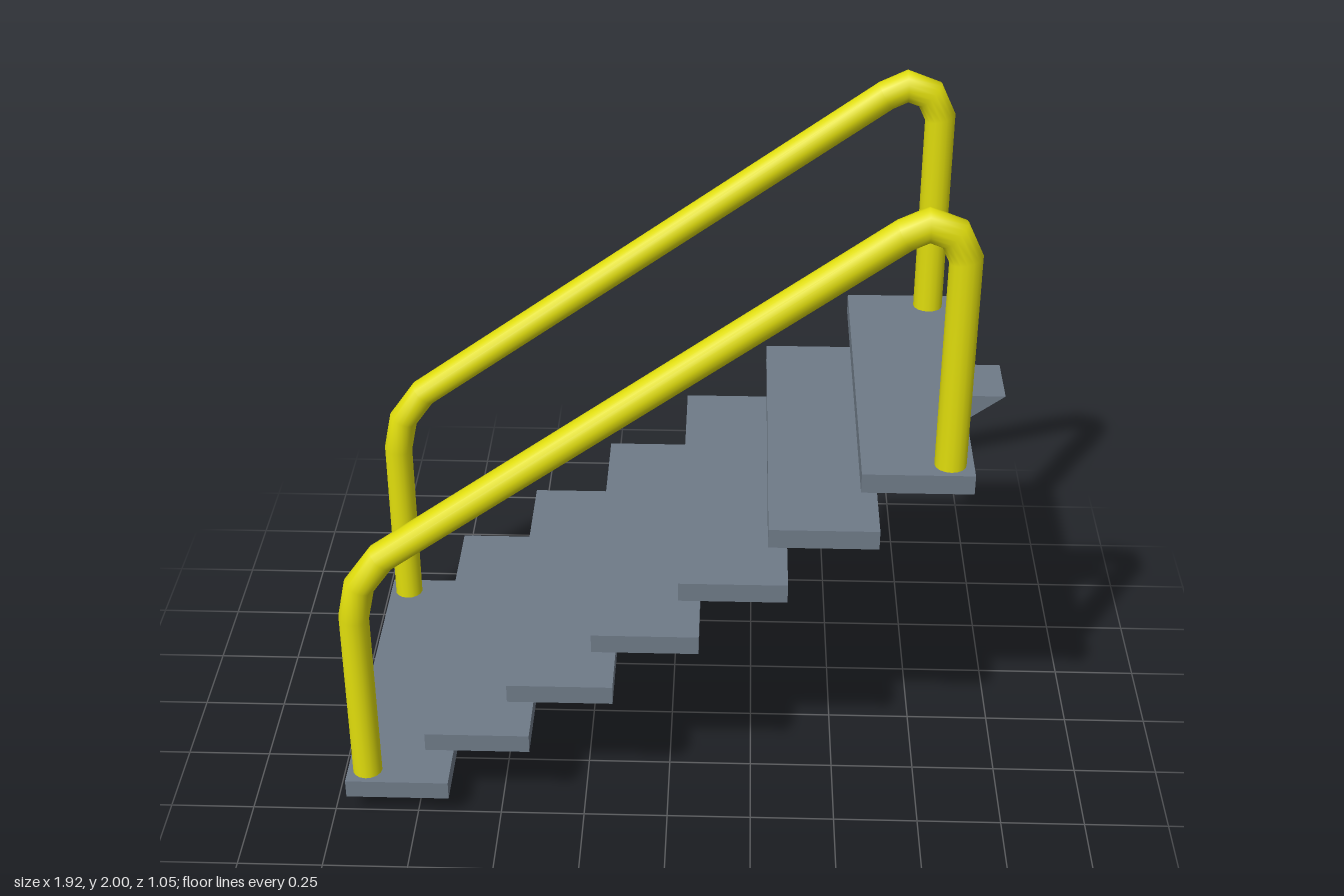
import * as THREE from 'three';

const steel = new THREE.MeshStandardMaterial({ color: 0x6f7b88 });
const yellow = new THREE.MeshStandardMaterial({ color: 0xe0dd0c });

// Round bar swept along a path in the xy plane, with mitred joints
function barGeometry(path, radius, sides) {
  const pts = path.map(([x, y]) => new THREE.Vector2(x, y));
  const pos = [], idx = [];
  pts.forEach((p, i) => {
    const a = pts[Math.max(i - 1, 0)], b = pts[Math.min(i + 1, pts.length - 1)];
    const d1 = (i > 0 ? p.clone().sub(a) : b.clone().sub(p)).normalize();
    const d2 = (i < pts.length - 1 ? b.clone().sub(p) : d1.clone()).normalize();
    const t = d1.clone().add(d2).normalize();
    const mitre = radius / t.dot(d1);
    for (let j = 0; j < sides; j++) {
      const ang = (j / sides) * Math.PI * 2;
      const c = Math.cos(ang) * mitre;
      pos.push(p.x - t.y * c, p.y + t.x * c, Math.sin(ang) * radius);
      if (i < pts.length - 1) {
        const k = (j + 1) % sides, r = i * sides, s = r + sides;
        idx.push(r + j, r + k, s + j, r + k, s + k, s + j);
      }
    }
  });
  const geo = new THREE.BufferGeometry();
  geo.setAttribute('position', new THREE.Float32BufferAttribute(pos, 3));
  geo.setIndex(idx);
  geo.computeVertexNormals();
  return geo;
}

export function createModel() {
  const model = new THREE.Group();
  model.name = 'staircase';

  // Seven floating treads
  const treadGeo = new THREE.BoxGeometry(0.307, 0.058, 1.05);
  for (let i = 0; i < 7; i++) {
    const tread = new THREE.Mesh(treadGeo, steel);
    tread.name = `tread${i + 1}`;
    tread.position.set(-0.806 + i * 0.248, 0.099 + i * 0.185, 0);
    model.add(tread);
  }

  // Central sloping beam, cut level at both ends
  const shape = new THREE.Shape([
    [-0.835, 0], [-0.715, 0], [0.957, 1.238], [0.835, 1.238],
  ].map(([x, y]) => new THREE.Vector2(x, y)));
  const beamGeo = new THREE.ExtrudeGeometry(shape, { depth: 0.184, bevelEnabled: false });
  beamGeo.translate(0, 0, -0.092);
  const beam = new THREE.Mesh(beamGeo, steel);
  beam.name = 'centralBeam';
  model.add(beam);

  // Handrail on each side: post, bend, slope, bend, post
  const railGeo = barGeometry([
    [-0.9, 0.125], [-0.9, 0.69], [-0.877, 0.8], [-0.808, 0.897],
    [0.61, 1.925], [0.672, 1.955], [0.738, 1.93], [0.771, 1.86], [0.771, 1.235],
  ], 0.044, 16);
  for (const side of [1, -1]) {
    const rail = new THREE.Mesh(railGeo, yellow);
    rail.name = side > 0 ? 'frontHandrail' : 'backHandrail';
    rail.position.z = side * 0.465;
    model.add(rail);
  }
  return model;
}
